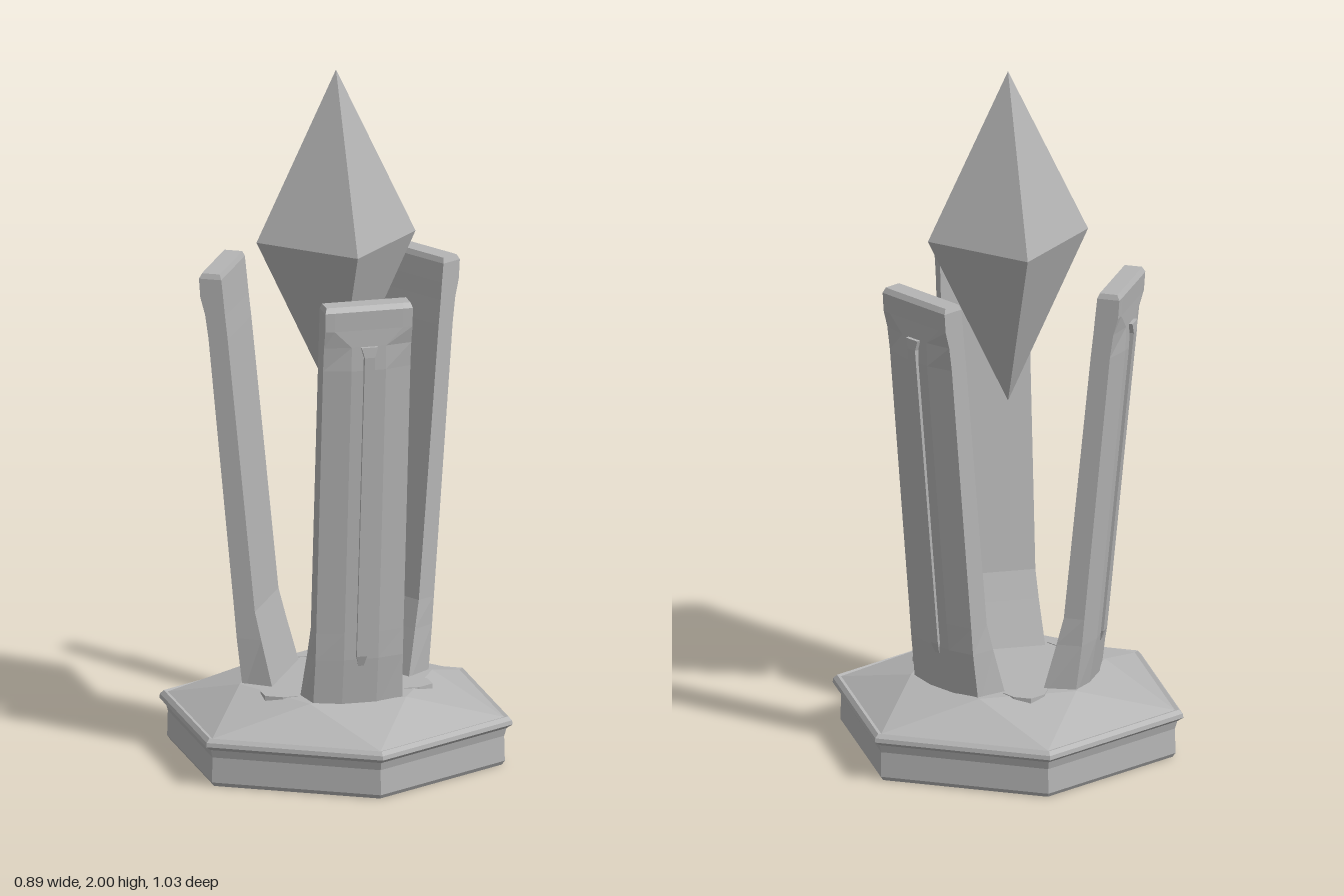
import * as THREE from 'three';

const stone = new THREE.MeshStandardMaterial({ color: 0xb4b4b4, flatShading: true });
stone.name = 'grey stone';

// Skins a stack of rings (bottom to top, counter-clockwise from above) and caps both ends.
function loft(rings) {
  const pos = [];
  const tri = (a, b, c) => {
    const ab = b.clone().sub(a), ac = c.clone().sub(a);
    if (ab.cross(ac).length() > 1e-9) [a, b, c].forEach(p => pos.push(p.x, p.y, p.z));
  };
  const n = rings[0].length;
  for (let i = 0; i < rings.length - 1; i++) {
    for (let j = 0; j < n; j++) {
      const k = (j + 1) % n, lo = rings[i], hi = rings[i + 1];
      tri(lo[j], lo[k], hi[k]);
      tri(lo[j], hi[k], hi[j]);
    }
  }
  const first = rings[0], last = rings[rings.length - 1];
  for (let j = 1; j < n - 1; j++) {
    tri(first[0], first[j + 1], first[j]);
    tri(last[0], last[j], last[j + 1]);
  }
  const g = new THREE.BufferGeometry();
  g.setAttribute('position', new THREE.Float32BufferAttribute(pos, 3));
  g.computeVertexNormals();
  return g;
}

function part(name, geometry) {
  const m = new THREE.Mesh(geometry, stone);
  m.name = name;
  return m;
}

const polar = (r, y, deg) => {
  const a = THREE.MathUtils.degToRad(deg);
  return new THREE.Vector3(r * Math.sin(a), y, r * Math.cos(a));
};

// Hexagonal foot with a rim; the sloped top twists to a hexagon turned by 30 degrees.
function baseGeometry() {
  const profile = [[0.483, 0], [0.492, 0.012], [0.49, 0.085], [0.497, 0.108],
    [0.515, 0.12], [0.513, 0.132], [0.502, 0.143], [0.49, 0.14]];
  const ring = (r, y, twist) => {
    const pts = [];
    for (let k = 0; k < 6; k++) pts.push(polar(r, y, k * 60 - twist), polar(r, y, k * 60 + twist));
    return pts;
  };
  return loft([...profile.map(([r, y]) => ring(r, y, 0)), ring(0.28, 0.22, 30)]);
}

// Leaning pillar, outer side towards +z, with a bevelled outer panel and a square head.
// Rows: y, half width inside, half width outside, inner z, corner z, panel half width, panel z
function pillarGeometry() {
  const rows = [
    [0.19, 0.145, 0.13, 0.14, 0.235, 0.05, 0.25],
    [0.35, 0.132, 0.127, 0.182, 0.255, 0.05, 0.276],
    [0.43, 0.127, 0.127, 0.202, 0.262, 0.05, 0.284],
    [1.22, 0.127, 0.127, 0.281, 0.337, 0.05, 0.36],
    [1.29, 0.127, 0.127, 0.289, 0.347, 0.05, 0.362],
    [1.34, 0.127, 0.127, 0.294, 0.361, 0.1, 0.363],
    [1.395, 0.127, 0.127, 0.3, 0.365, 0.1, 0.366],
    [1.41, 0.122, 0.122, 0.306, 0.357, 0.1, 0.358],
  ];
  return loft(rows.map(([y, wi, wo, zi, zc, p, zp]) => [
    [-p, zp], [p, zp], [wo, zc], [wi, zi], [-wi, zi], [-wo, zc],
  ].map(([x, z]) => new THREE.Vector3(x, y, z))));
}

// Slim rib running up the pillar's outer panel
function ribGeometry() {
  const rows = [[0.33, 0.008, 0.274], [0.36, 0.015, 0.285], [1.26, 0.015, 0.374], [1.29, 0.024, 0.373]];
  return loft(rows.map(([y, w, z]) => [
    [-w, z], [w, z], [w, z - 0.03], [-w, z - 0.03],
  ].map(([x, d]) => new THREE.Vector3(x, y, d))));
}

// Shallow pointed stud on the foot between two pillars
function studGeometry() {
  const outline = [[-0.065, 0.215], [-0.045, 0.255], [0, 0.281], [0.045, 0.255], [0.065, 0.215]];
  return loft([0.19, 0.222].map(y => outline.map(([x, z]) => new THREE.Vector3(x, y, z))));
}

// Four-sided double pyramid
function crystalGeometry() {
  const ring = (r, y) => [60, 150, 240, 330].map(d => polar(r, y, d + 0.5));
  return loft([ring(0, 1.015), ring(0.232, 1.51), ring(0, 2)]);
}

export function createModel() {
  const model = new THREE.Group();
  model.name = 'crystalPedestal';
  model.add(part('base', baseGeometry()));

  const pillar = pillarGeometry(), rib = ribGeometry(), stud = studGeometry();
  ['leftPillar', 'backPillar', 'rightPillar'].forEach((name, i) => {
    const g = new THREE.Group();
    g.name = name;
    g.add(part('pillarBody', pillar), part('pillarRib', rib));
    g.rotation.y = Math.PI / 3 + i * Math.PI * 2 / 3;
    model.add(g);

    const s = part('baseStud', stud);
    s.rotation.y = i * Math.PI * 2 / 3;
    model.add(s);
  });

  model.add(part('crystal', crystalGeometry()));
  return model;
}
